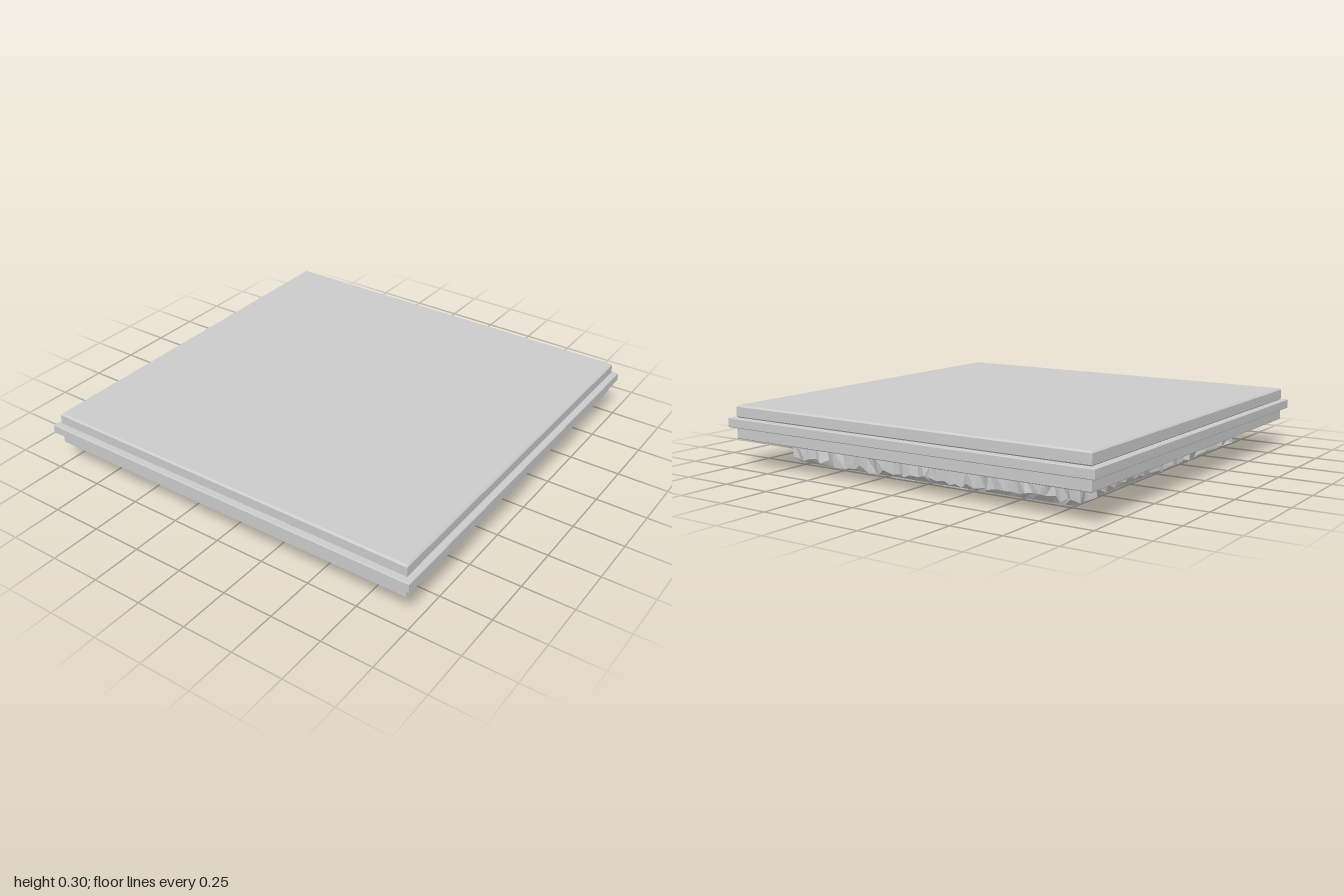
import * as THREE from 'three';

const material = new THREE.MeshStandardMaterial({ color: 0xcccccc, flatShading: true });

// Small seeded generator for the broken stone
function seeded(seed) {
  return () => {
    seed = (seed * 16807) % 2147483647;
    return seed / 2147483647;
  };
}

function addMesh(parent, name, geometry) {
  const mesh = new THREE.Mesh(geometry, material);
  mesh.name = name;
  parent.add(mesh);
  return mesh;
}

// Flat outline raised from y0 to y1 with a chamfered rim
function plate(points, y0, y1, bevel) {
  const shape = new THREE.Shape(points.map(([x, z]) => new THREE.Vector2(x, -z)));
  const geometry = new THREE.ExtrudeGeometry(shape, {
    depth: y1 - y0 - 2 * bevel, bevelEnabled: bevel > 0, bevelThickness: bevel,
    bevelSize: bevel, bevelOffset: -bevel, bevelSegments: 1,
  });
  geometry.rotateX(-Math.PI / 2);
  geometry.translate(0, y0 + bevel, 0);
  return geometry;
}

const square = (h) => [[-h, -h], [h, -h], [h, h], [-h, h]];

// Jagged ring of stone: stacked square loops with uneven corners
function brokenStone() {
  const random = seeded(4127);
  const perSide = 44;
  const count = perSide * 4;
  const levels = [[0.137, 0.785], [0.108, 0.795], [0.035, 0.79], [0.012, 0.76]];
  const positions = [];
  const indices = [];
  // Each column leans in or out as a whole, so the facets read as vertical chips
  const columns = Array.from({ length: count }, () => [random() * 0.03 - 0.018, random() - 0.5]);
  levels.forEach(([y, half], level) => {
    const rough = level === 1 || level === 2;
    for (let i = 0; i < count; i++) {
      const side = Math.floor(i / perSide);
      const step = i % perSide;
      const [push, shift] = columns[i];
      const slide = step === 0 ? 0 : shift * 0.012 + (rough ? (random() - 0.5) * 0.02 : 0);
      const along = -half + (2 * half * step) / perSide + slide;
      const out = half + (level < 3 ? push * (rough ? 1 : 0.5) : 0) + (rough ? (random() - 0.5) * 0.02 : 0);
      const lift = rough ? (random() - 0.5) * 0.03 : 0;
      const point = new THREE.Vector3(along, y + lift, out);
      point.applyAxisAngle(new THREE.Vector3(0, 1, 0), (side * Math.PI) / 2);
      positions.push(point.x, point.y, point.z);
    }
  });
  for (let level = 0; level < levels.length - 1; level++) {
    for (let i = 0; i < count; i++) {
      const a = level * count + i;
      const b = level * count + ((i + 1) % count);
      const c = a + count;
      const d = b + count;
      if (random() < 0.5) indices.push(a, c, b, b, c, d);
      else indices.push(a, c, d, a, d, b);
    }
  }
  // Underside fan
  const center = positions.length / 3;
  positions.push(0, 0.012, 0);
  const last = (levels.length - 1) * count;
  for (let i = 0; i < count; i++) indices.push(last + ((i + 1) % count), last + i, center);
  const geometry = new THREE.BufferGeometry();
  geometry.setAttribute('position', new THREE.Float32BufferAttribute(positions, 3));
  geometry.setIndex(indices);
  const flat = geometry.toNonIndexed();
  flat.computeVertexNormals();
  return flat;
}

export function createModel() {
  const model = new THREE.Group();
  model.name = 'floorTile';

  // Stacked square slabs with a projecting band
  addMesh(model, 'topSlab', plate(square(0.972), 0.238, 0.3, 0.008));
  addMesh(model, 'edgeBand', plate(square(1), 0.195, 0.24, 0.003));
  addMesh(model, 'lowerSlab', plate(square(0.972), 0.137, 0.197, 0.004));

  // Rough stone base and its smooth underside
  addMesh(model, 'brokenStoneBase', brokenStone());
  addMesh(model, 'undersidePlate', plate(square(0.75), 0.008, 0.03, 0.002));

  // Four corner panels, each bordered by an L-shaped strip, leave a cross between them
  const strip = [[0.08, 0.08], [0.745, 0.08], [0.745, 0.215], [0.215, 0.215], [0.215, 0.745], [0.08, 0.745]];
  const panel = [[0.225, 0.225], [0.735, 0.225], [0.735, 0.735], [0.225, 0.735]];
  for (let i = 0; i < 4; i++) {
    const corner = new THREE.Group();
    corner.name = 'undersideCorner';
    corner.rotation.y = (i * Math.PI) / 2;
    addMesh(corner, 'borderStrip', plate(strip, 0, 0.012, 0.002));
    addMesh(corner, 'cornerPanel', plate(panel, 0.004, 0.012, 0.002));
    model.add(corner);
  }
  return model;
}
